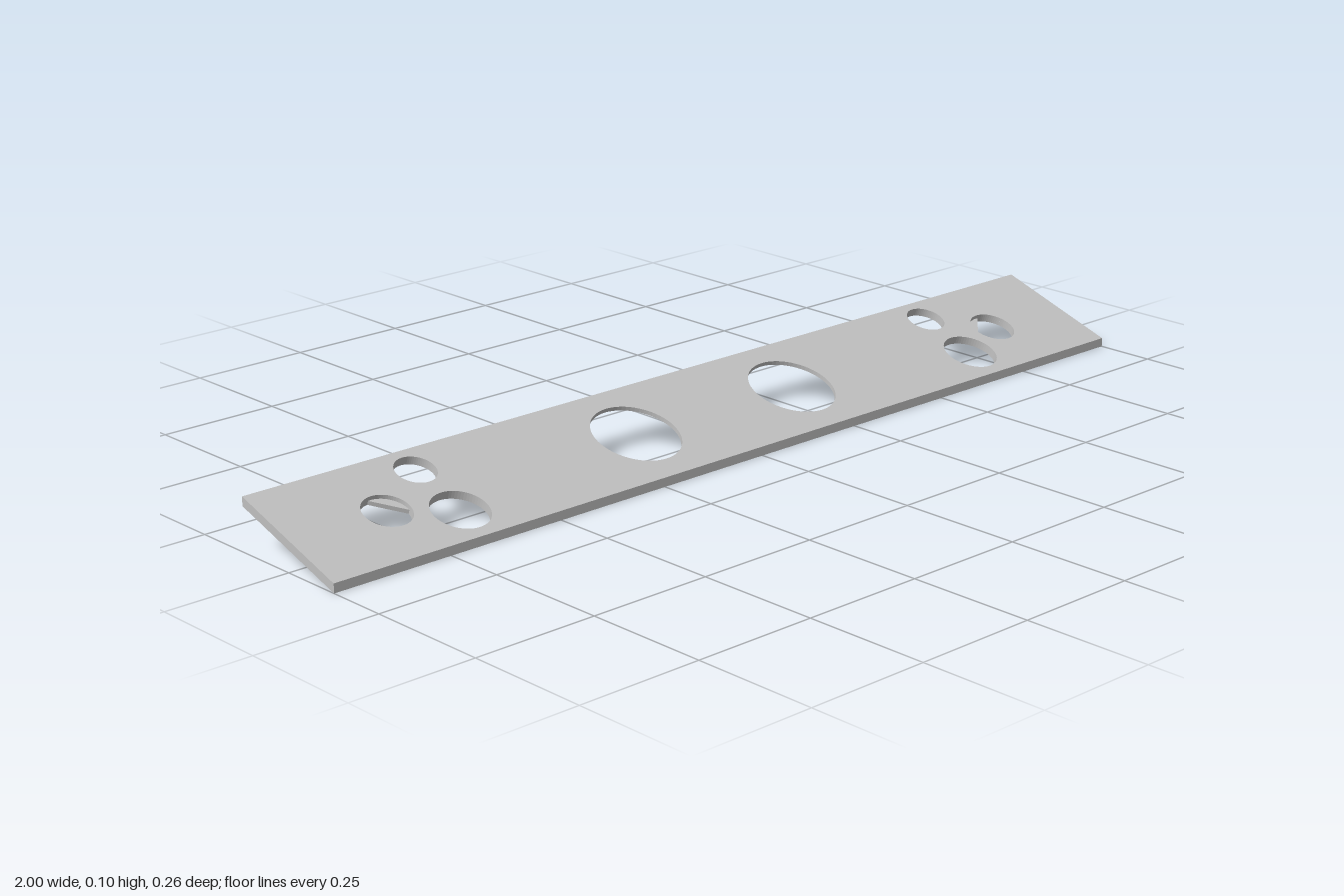
import * as THREE from 'three';

const HALF_X = 1, HALF_Z = 0.128, SLOPE = 0.336, THICK = 0.018, LEAN = 0.0054;

// Plan coordinates: x and s (= -z). d is the depth, 0 = upper face, 1 = lower face.
const place = (x, s, d) => [x, THICK * (1 - d) + (HALF_Z + s) * SLOPE, -s];

// Arc of a hole bored square to the sloping plate, counter-clockwise from above
function arc(h, d, r = h.r, from = 0, to = Math.PI * 2, n = 64) {
  const closed = to - from > 6.28;
  return Array.from({ length: closed ? n : n + 1 }, (_, i) => {
    const a = from + (to - from) * i / n;
    return new THREE.Vector2(h.x + r * Math.cos(a), -h.z + r * 0.95 * Math.sin(a) + LEAN * d);
  });
}

// Flat sheet with holes, following the slope
function sheet(outline, holes, d, faceDown) {
  const shape = new THREE.Shape(outline);
  shape.holes = holes.map(p => new THREE.Path(p));
  const g = new THREE.ShapeGeometry(shape);
  const pos = g.attributes.position;
  for (let i = 0; i < pos.count; i++) pos.setXYZ(i, ...place(pos.getX(i), pos.getY(i), d));
  if (faceDown) {
    const ix = g.index.array;
    for (let i = 0; i < ix.length; i += 3) [ix[i], ix[i + 1]] = [ix[i + 1], ix[i]];
  }
  g.computeVertexNormals();
  return g;
}

// Closed wall between two depths
function wall(upper, lower, d0, d1, inward) {
  const v = [], n = upper.length;
  for (let i = 0; i < n; i++) {
    const j = (i + 1) % n;
    const a0 = place(upper[i].x, upper[i].y, d0), a1 = place(upper[j].x, upper[j].y, d0);
    const b0 = place(lower[i].x, lower[i].y, d1), b1 = place(lower[j].x, lower[j].y, d1);
    if (inward) v.push(...b0, ...a1, ...b1, ...b0, ...a0, ...a1);
    else v.push(...b0, ...b1, ...a1, ...b0, ...a1, ...a0);
  }
  const g = new THREE.BufferGeometry();
  g.setAttribute('position', new THREE.Float32BufferAttribute(v, 3));
  g.computeVertexNormals();
  return g;
}

export function createModel() {
  const group = new THREE.Group();
  group.name = 'slopedPanel';
  const grey = new THREE.MeshStandardMaterial({ color: 0xc0c0c0 });
  grey.name = 'light grey';
  const add = (name, geometry) => {
    const m = new THREE.Mesh(geometry, grey);
    m.name = name;
    group.add(m);
  };

  const rect = [[-1, -1], [1, -1], [1, 1], [-1, 1]].map(([x, s]) => new THREE.Vector2(x * HALF_X, s * HALF_Z));
  const topHoles = [], bottomHoles = [];

  for (const side of [-1, 1]) {
    // Large hole with a wider recess on the underside
    const big = { x: side * 0.205, z: 0, r: 0.088 }, recess = 0.106;
    topHoles.push(arc(big, 0));
    bottomHoles.push(arc(big, 1, recess));
    add('largeHoleWall', wall(arc(big, 0), arc(big, 0.5), 0, 0.5, true));
    add('recessLedge', sheet(arc(big, 0.5, recess), [arc(big, 0.5)], 0.5, true));
    add('recessWall', wall(arc(big, 0.5, recess), arc(big, 1, recess), 0.5, 1, true));

    // Plain small holes
    for (const h of [{ x: side * 0.668, z: -0.072, r: 0.04 }, { x: side * 0.668, z: 0.053, r: 0.056 }]) {
      topHoles.push(arc(h, 0));
      bottomHoles.push(arc(h, 1));
      add('smallHoleWall', wall(arc(h, 0), arc(h, 1), 0, 1, true));
    }

    // End hole whose lower half is partly closed by a straight-edged ledge
    const end = { x: side * 0.791, z: 0.004, r: 0.047 };
    const dir = side < 0 ? Math.PI / 4 : Math.PI * 3 / 4, half = Math.acos(0.62);
    const open = d => arc(end, d, end.r, dir + half, dir - half + Math.PI * 2, 48);
    topHoles.push(arc(end, 0));
    bottomHoles.push(open(1));
    add('endHoleUpperWall', wall(arc(end, 0), arc(end, 0.5), 0, 0.5, true));
    add('endHoleLedge', sheet(arc(end, 0.5, end.r, dir - half, dir + half, 20), [], 0.5, false));
    add('endHoleLowerWall', wall(open(0.5), open(1), 0.5, 1, true));
  }

  // Plate faces and rim
  add('plateTop', sheet(rect, topHoles, 0, false));
  add('plateUnderside', sheet(rect, bottomHoles, 1, true));
  add('plateRim', wall(rect, rect, 0, 1, false));
  return group;
}
